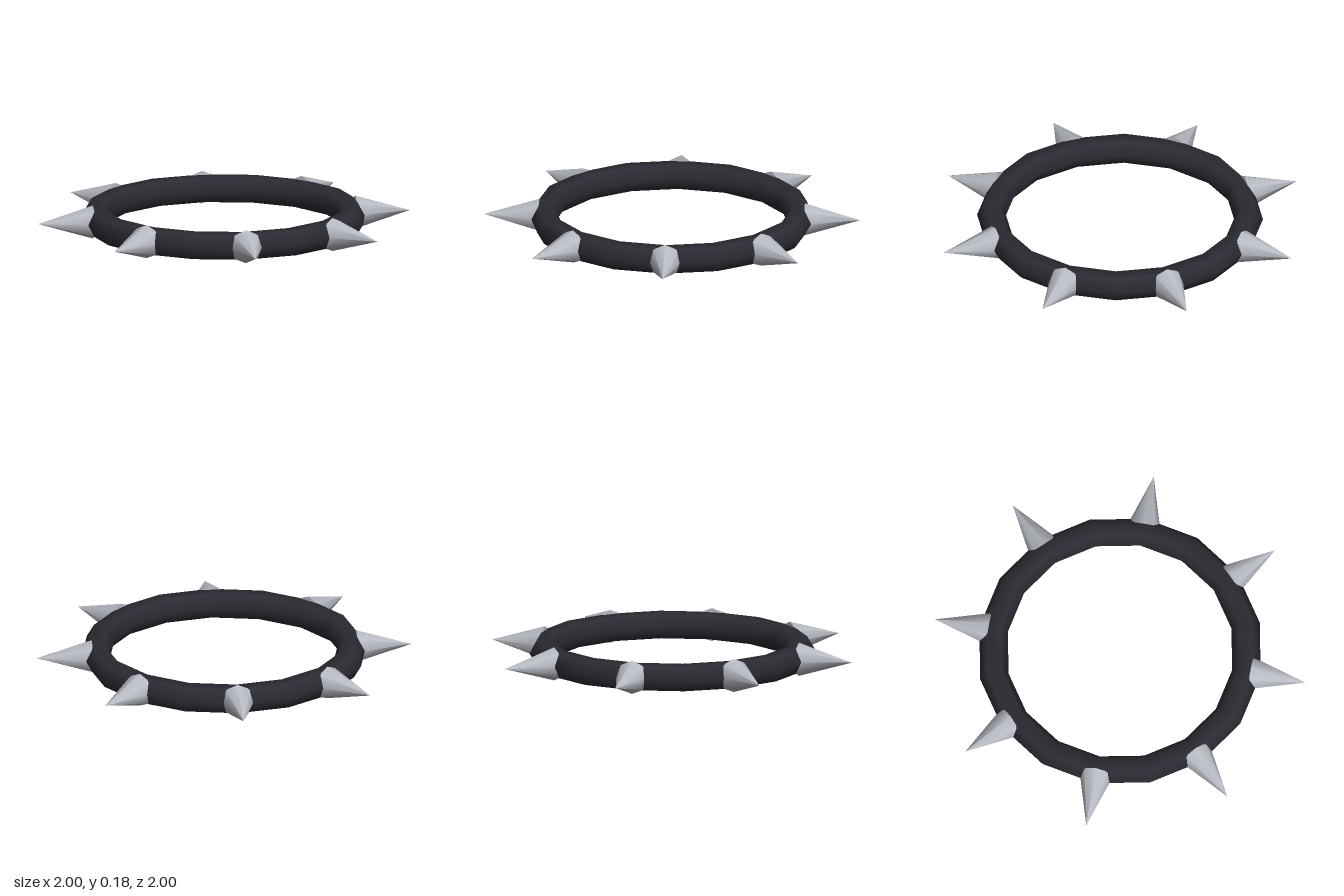
import * as THREE from 'three';

export function createModel() {
  const model = new THREE.Group();
  model.name = 'spikedRing';

  const band = new THREE.MeshStandardMaterial({ color: 0x2b2b33 });
  band.name = 'dark band';
  const metal = new THREE.MeshStandardMaterial({ color: 0xb9bcc4 });
  metal.name = 'pale metal';

  const centreY = 0.09;

  // Band: six-sided tube around a sixteen-sided ring
  const ringGeometry = new THREE.TorusGeometry(0.682, 0.077, 6, 16);
  ringGeometry.rotateX(Math.PI / 2);
  const ring = new THREE.Mesh(ringGeometry, band);
  ring.name = 'band';
  ring.position.y = centreY;
  model.add(ring);

  // Spikes: cones pointing outwards, base sunk into the band
  const baseRadius = 0.706;
  const length = 1 - baseRadius;
  const spikeGeometry = new THREE.ConeGeometry(0.09, length, 8);
  spikeGeometry.rotateX(Math.PI / 2);
  spikeGeometry.translate(0, 0, baseRadius + length / 2);
  for (let i = 0; i < 8; i++) {
    const spike = new THREE.Mesh(spikeGeometry, metal);
    spike.name = `spike${i + 1}`;
    spike.position.y = centreY;
    spike.rotation.y = (i * Math.PI) / 4;
    model.add(spike);
  }

  return model;
}
